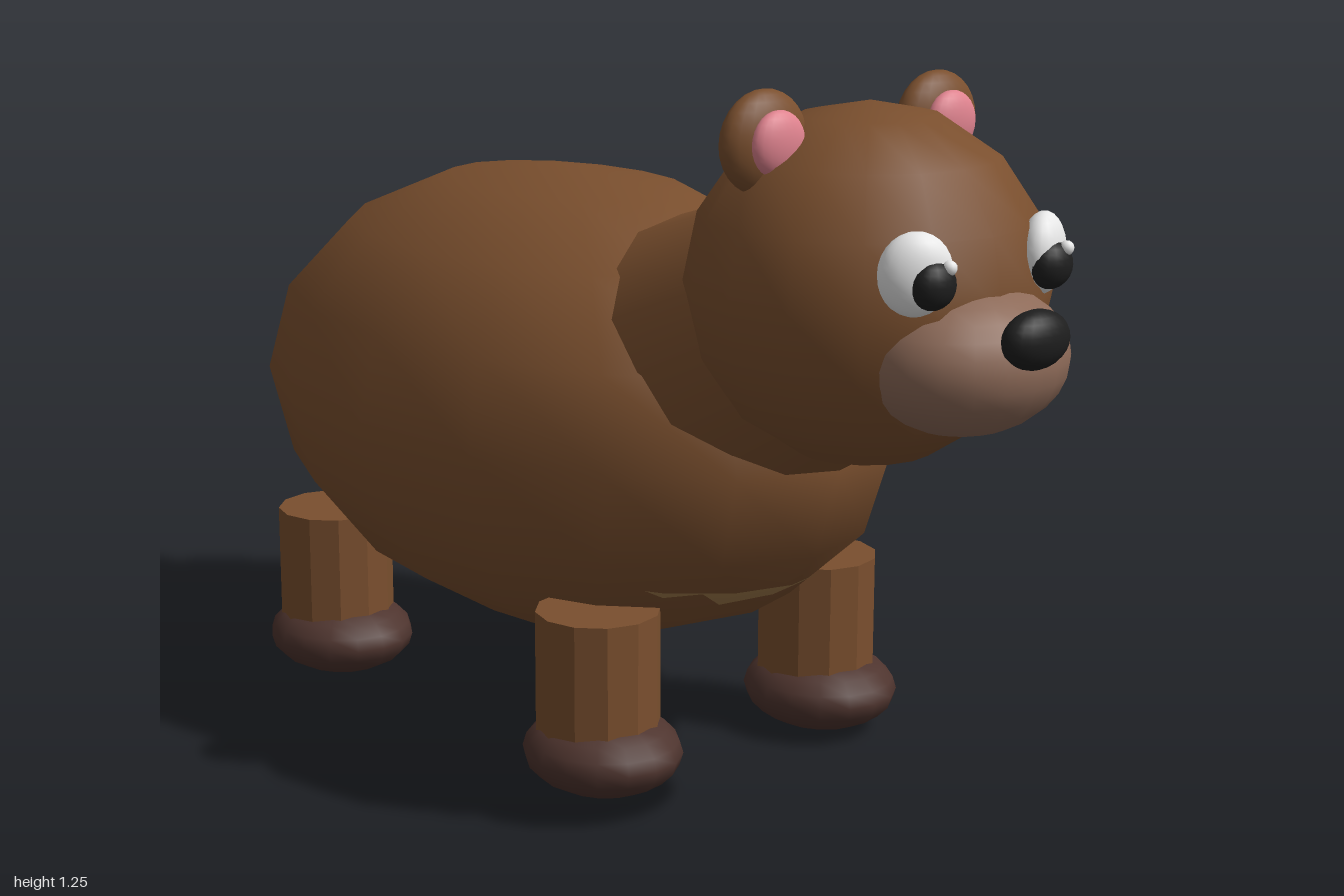
import * as THREE from 'three';

const paint = (name, color) => {
  const m = new THREE.MeshStandardMaterial({ color });
  m.name = name;
  return m;
};

export function createModel() {
  const bear = new THREE.Group();
  bear.name = 'bear';

  const fur = paint('brown fur', 0x7a4f2e);
  const legFur = paint('leg fur', 0x7a4f2e);
  legFur.flatShading = true;
  const paw = paint('dark paw', 0x4e342e);
  const muzzleTan = paint('muzzle tan', 0x8d6a58);
  const bellyTan = paint('belly tan', 0xa07a4a);
  const pink = paint('inner ear pink', 0xe0838f);
  const white = paint('eye white', 0xf2f2f2);
  const black = paint('black', 0x1e1e1e);

  const add = (name, geometry, material, x, y, z) => {
    const mesh = new THREE.Mesh(geometry, material);
    mesh.name = name;
    mesh.position.set(x, y, z);
    bear.add(mesh);
    return mesh;
  };

  // Scaled sphere: centre, radii, number of sides
  const blob = (name, material, [x, y, z], [rx, ry, rz], w = 16, h = 8) => {
    const mesh = add(name, new THREE.SphereGeometry(1, w, h), material, x, y, z);
    mesh.scale.set(rx, ry, rz);
    return mesh;
  };

  // Torso and tail
  blob('body', fur, [0, 0.593, -0.19], [0.465, 0.427, 0.733]);
  blob('tail', fur, [0, 0.665, -0.925], [0.075, 0.072, 0.075], 16, 12);

  // Belly patch: bottom cap of a sphere, just proud of the lower chest
  const cap = new THREE.SphereGeometry(1, 16, 2, 0, Math.PI * 2, Math.PI * 0.75, Math.PI * 0.25);
  const belly = add('bellyPatch', cap, bellyTan, 0, 0.685, 0.0765);
  belly.scale.set(0.4, 0.45, 0.5);

  // Neck: tapered cylinder leaning forward into the head
  const neckBase = new THREE.Vector3(0, 0.7, 0.2);
  const neckTop = new THREE.Vector3(0, 0.88, 0.58);
  const axis = neckTop.clone().sub(neckBase);
  const mid = neckBase.clone().add(neckTop).multiplyScalar(0.5);
  const neckShape = new THREE.CylinderGeometry(0.22, 0.28, axis.length(), 16);
  const neck = add('neck', neckShape, fur, mid.x, mid.y, mid.z);
  neck.quaternion.setFromUnitVectors(new THREE.Vector3(0, 1, 0), axis.normalize());

  // Head, muzzle and nose
  blob('head', fur, [0, 0.92, 0.597], [0.3, 0.297, 0.297]);
  blob('muzzle', muzzleTan, [0, 0.837, 0.82], [0.18, 0.122, 0.15], 20, 14);
  blob('nose', black, [0, 0.89, 0.964], [0.067, 0.047, 0.036], 20, 14);

  for (const [side, s] of [['left', 1], ['right', -1]]) {
    // Ears
    blob(side + 'Ear', fur, [s * 0.191, 1.162, 0.555], [0.086, 0.084, 0.04], 20, 14);
    blob(side + 'InnerEar', pink, [s * 0.191, 1.163, 0.59], [0.053, 0.053, 0.024], 20, 14);

    // Eyes, turned slightly outwards; both glints sit toward +x
    const eye = blob(side + 'Eye', white, [s * 0.141, 0.99, 0.845], [0.06, 0.066, 0.036], 20, 14);
    eye.rotation.y = s * 0.5;
    blob(side + 'Pupil', black, [s * 0.13, 0.976, 0.872], [0.041, 0.039, 0.03], 16, 12);
    blob(side + 'Glint', white, [s * 0.13 + 0.016, 1.003, 0.89], [0.012, 0.012, 0.012], 10, 8);

    // Legs and paws
    for (const [end, legZ, pawZ] of [['Front', 0.22, 0.232], ['Back', -0.6, -0.588]]) {
      const leg = new THREE.CylinderGeometry(0.109, 0.109, 0.245, 12);
      add(side + end + 'Leg', leg, legFur, s * 0.257, 0.202, legZ);
      blob(side + end + 'Paw', paw, [s * 0.257, 0.073, pawZ], [0.135, 0.073, 0.147], 16, 10);
    }
  }
  return bear;
}
